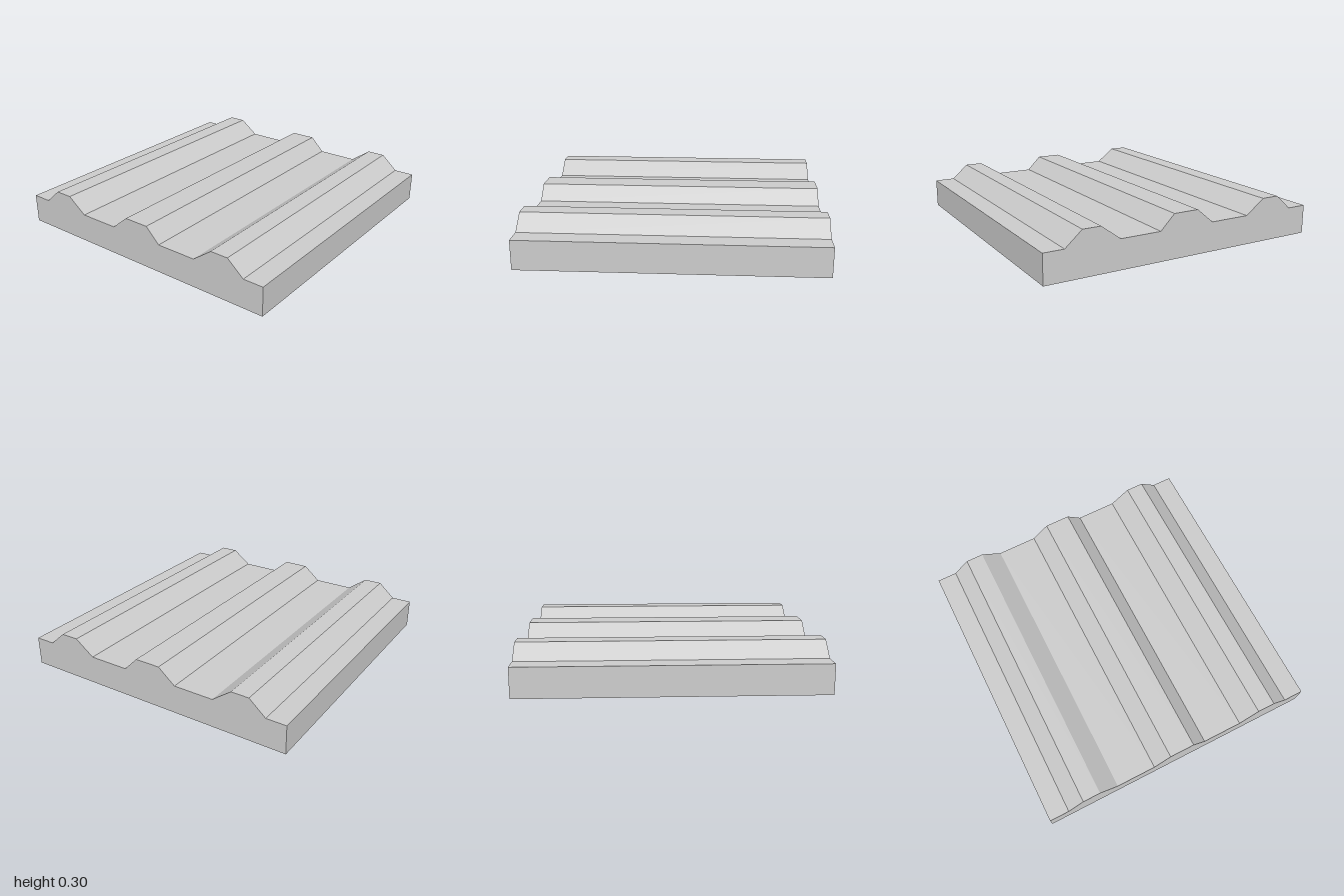
import * as THREE from 'three';

const BASE_HEIGHT = 0.2;
const RIDGE_HEIGHT = 0.3;

// Each ridge from front to back: foot, crest, crest, foot (z positions)
const RIDGES = [
  [0.86, 0.745, 0.62, 0.485],
  [0.2, 0.1, -0.08, -0.2],
  [-0.485, -0.62, -0.745, -0.86],
];

export function createModel() {
  const group = new THREE.Group();
  group.name = 'ridgedSlab';

  // Side profile, drawn with shape x = -z
  const profile = new THREE.Shape();
  profile.moveTo(1, BASE_HEIGHT);
  profile.lineTo(1, 0);
  profile.lineTo(-1, 0);
  profile.lineTo(-1, BASE_HEIGHT);
  for (const ridge of RIDGES) {
    ridge.forEach((z, i) => {
      const isCrest = i === 1 || i === 2;
      profile.lineTo(-z, isCrest ? RIDGE_HEIGHT : BASE_HEIGHT);
    });
  }
  profile.closePath();

  // Sweep the profile across the full width
  const geometry = new THREE.ExtrudeGeometry(profile, { depth: 2, bevelEnabled: false });
  geometry.translate(0, 0, -1);
  geometry.rotateY(Math.PI / 2);

  const material = new THREE.MeshStandardMaterial({ color: 0xcccccc, flatShading: true });
  const slab = new THREE.Mesh(geometry, material);
  slab.name = 'slabWithRidges';
  group.add(slab);
  return group;
}
